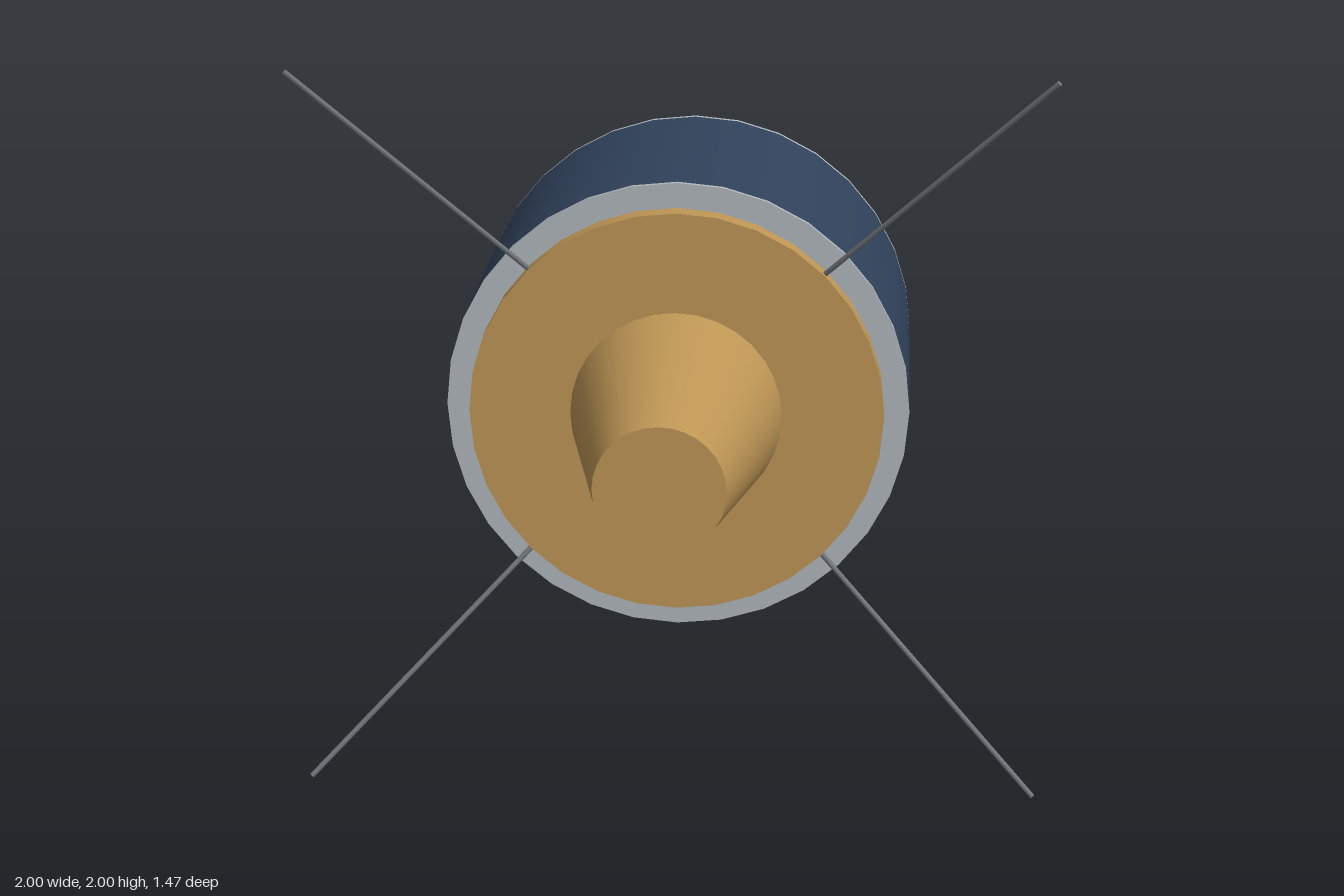
import * as THREE from 'three';

export function createModel() {
  const model = new THREE.Group();
  const material = (name, color) => {
    const m = new THREE.MeshStandardMaterial({ color });
    m.name = name;
    return m;
  };
  const navy = material('navy', 0x30425b);
  const silver = material('silver', 0xb0b8bb);
  const gold = material('gold', 0xbe9655);
  const steel = material('steel', 0x70757a);

  // Round part along z, from the back z0 to the front z1
  function drum(name, mat, backRadius, frontRadius, z0, z1) {
    const geometry = new THREE.CylinderGeometry(frontRadius, backRadius, z1 - z0, 32);
    geometry.rotateX(Math.PI / 2);
    const mesh = new THREE.Mesh(geometry, mat);
    mesh.name = name;
    mesh.position.set(0, 1, (z0 + z1) / 2);
    model.add(mesh);
  }

  // Main body with its end plates
  drum('body', navy, 0.637, 0.637, -0.72, 0.046);
  drum('backPlate', silver, 0.637, 0.637, -0.735, -0.72);
  drum('frontPlate', silver, 0.637, 0.637, 0.046, 0.06);

  // Front flange and tapered nozzle
  drum('flange', gold, 0.568, 0.568, 0.06, 0.12);
  drum('nozzle', gold, 0.29, 0.173, 0.12, 0.735);

  // Four thin rods splayed forward from the flange
  const up = new THREE.Vector3(0, 1, 0);
  for (const sx of [1, -1]) {
    for (const sy of [1, -1]) {
      const start = new THREE.Vector3(sx * 0.4, 1 + sy * 0.4, 0.098);
      const end = new THREE.Vector3(sx * 0.995, 1 + sy * 0.995, 0.373);
      const along = end.clone().sub(start);
      const rod = new THREE.Mesh(new THREE.CylinderGeometry(0.0075, 0.0075, along.length(), 8), steel);
      rod.name = (sy > 0 ? 'upper' : 'lower') + (sx > 0 ? 'Left' : 'Right') + 'Rod';
      rod.position.copy(start).add(end).multiplyScalar(0.5);
      rod.quaternion.setFromUnitVectors(up, along.normalize());
      model.add(rod);
    }
  }
  return model;
}
